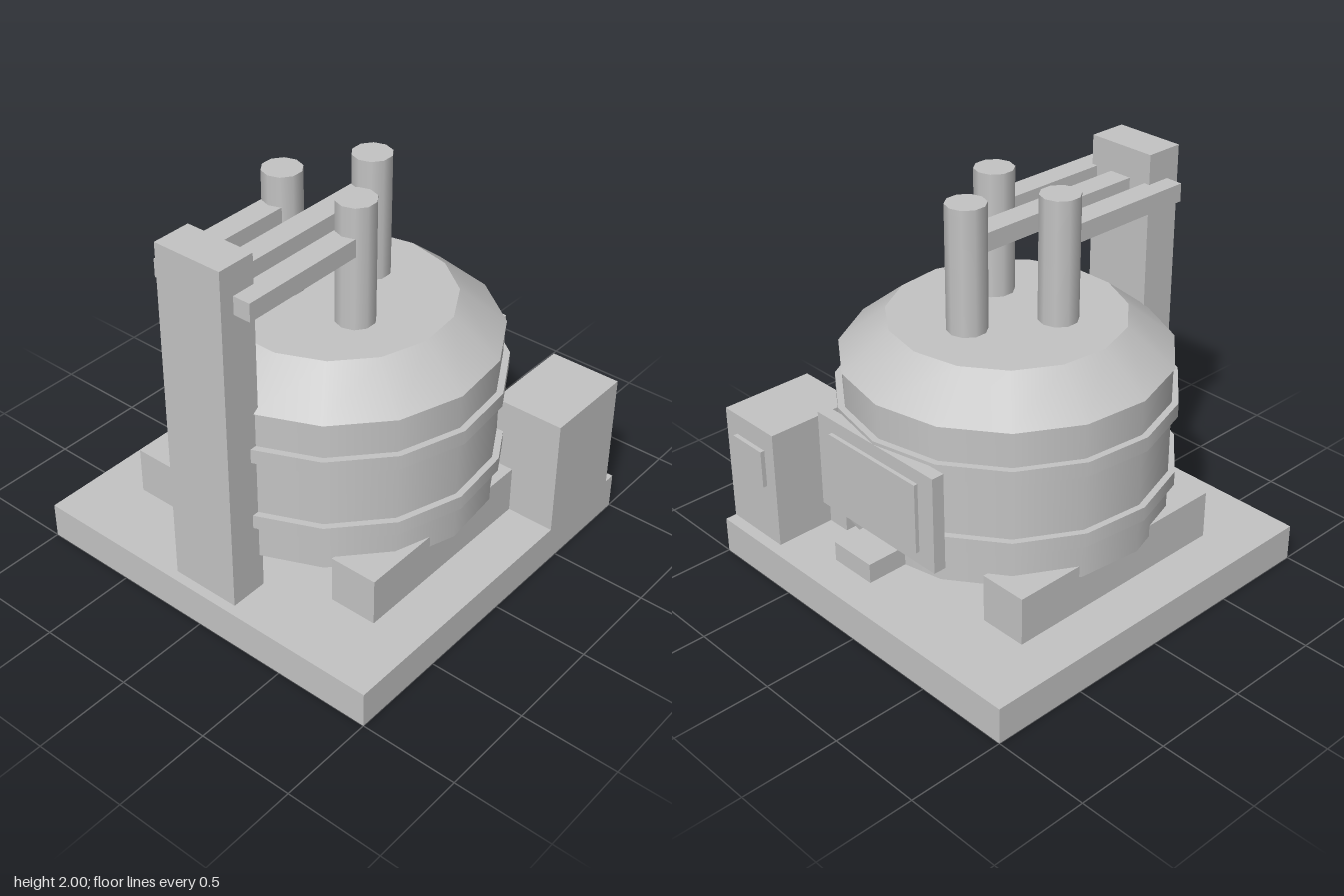
import * as THREE from 'three';

export function createModel() {
  const model = new THREE.Group();
  model.name = 'arcFurnace';
  const steel = new THREE.MeshStandardMaterial({ color: 0xc4c4c4 });
  steel.name = 'light grey steel';

  const add = (name, geometry) => {
    const mesh = new THREE.Mesh(geometry, steel);
    mesh.name = name;
    model.add(mesh);
    return mesh;
  };
  // Box given by its extents on each axis
  const box = (name, [x0, x1], [y0, y1], [z0, z1]) =>
    add(name, new THREE.BoxGeometry(x1 - x0, y1 - y0, z1 - z0))
      .position.set((x0 + x1) / 2, (y0 + y1) / 2, (z0 + z1) / 2);
  // Upright drum with a corner pointing to the back
  const drum = (name, rTop, rBottom, y0, y1, sides, x = 0, z = 0) => {
    const mesh = add(name, new THREE.CylinderGeometry(rTop, rBottom, y1 - y0, sides));
    mesh.position.set(x, (y0 + y1) / 2, z);
    mesh.rotation.y = Math.PI;
  };

  // Plinth and the two saddles under the vessel
  box('base', [-1, 1], [0, 0.19], [-1, 1]);
  box('rightSaddle', [-0.75, -0.5], [0.19, 0.44], [-0.625, 0.625]);
  box('leftSaddle', [0.5, 0.75], [0.19, 0.44], [-0.625, 0.625]);

  // Vessel, roof and hoops
  drum('vessel', 0.797, 0.797, 0.38, 1.195, 15);
  drum('roof', 0.575, 0.805, 1.195, 1.378, 15);
  drum('lowerHoop', 0.83, 0.83, 0.567, 0.64, 15);
  drum('upperHoop', 0.83, 0.83, 0.943, 1.017, 15);

  // Mast with an arm to each electrode
  box('mast', [-0.185, 0.185], [0.19, 2], [0.75, 0.95]);
  for (const [x, z, armEnd] of [[-0.215, 0.122, 0.875], [0.215, 0.122, 0.875], [0, -0.252, 0.875]]) {
    drum('electrode', 0.098, 0.098, 1.37, 2, 10, x, z);
    box('electrodeArm', [x - 0.061, x + 0.061], [1.758, 1.85], [z, armEnd]);
  }

  // Rear door with raised panel, and the pouring spout below
  box('door', [-0.4, 0.4], [0.5, 1], [-0.83, -0.765]);
  box('doorPanel', [-0.3, 0.3], [0.57, 0.93], [-0.85, -0.83]);
  box('spout', [-0.125, 0.125], [0.38, 0.48], [-0.98, -0.7]);

  // Control cabinet with its rear panel
  box('cabinet', [0.627, 1], [0.19, 0.813], [-0.94, -0.443]);
  box('cabinetPanel', [0.7, 0.92], [0.5, 0.7], [-0.963, -0.94]);

  return model;
}
